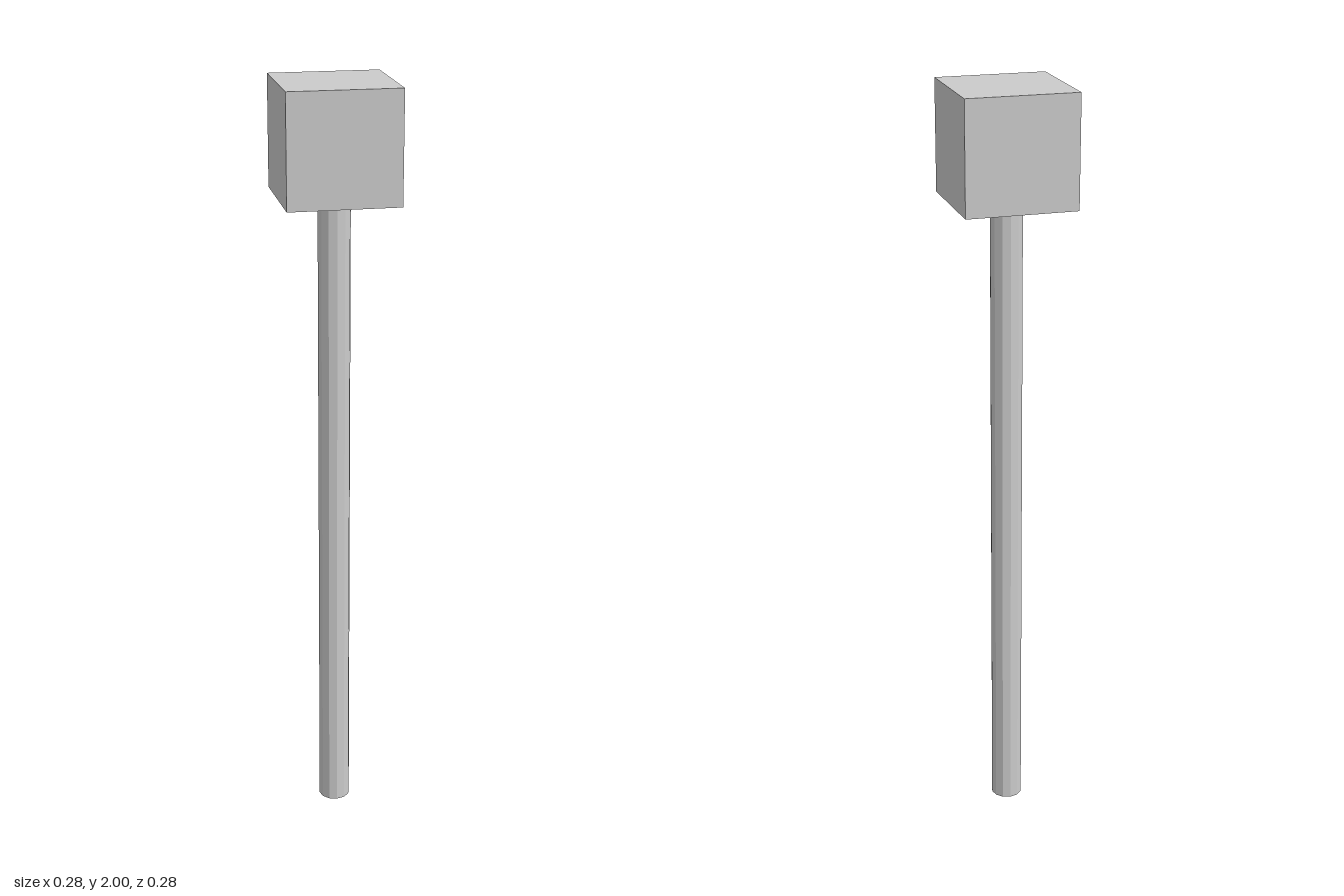
import * as THREE from 'three';

export function createModel() {
  const group = new THREE.Group();
  const material = new THREE.MeshStandardMaterial({ color: 0xcccccc, flatShading: true });
  const cubeSize = 0.285;
  const poleHeight = 2 - cubeSize;

  const addPart = (name, geometry, y) => {
    const mesh = new THREE.Mesh(geometry, material);
    mesh.name = name;
    mesh.position.y = y;
    group.add(mesh);
  };

  // Slim faceted pole standing on the ground
  addPart('pole', new THREE.CylinderGeometry(0.042, 0.042, poleHeight, 12), poleHeight / 2);

  // Cube head resting on the pole
  addPart('head', new THREE.BoxGeometry(cubeSize, cubeSize, cubeSize), 2 - cubeSize / 2);

  return group;
}
